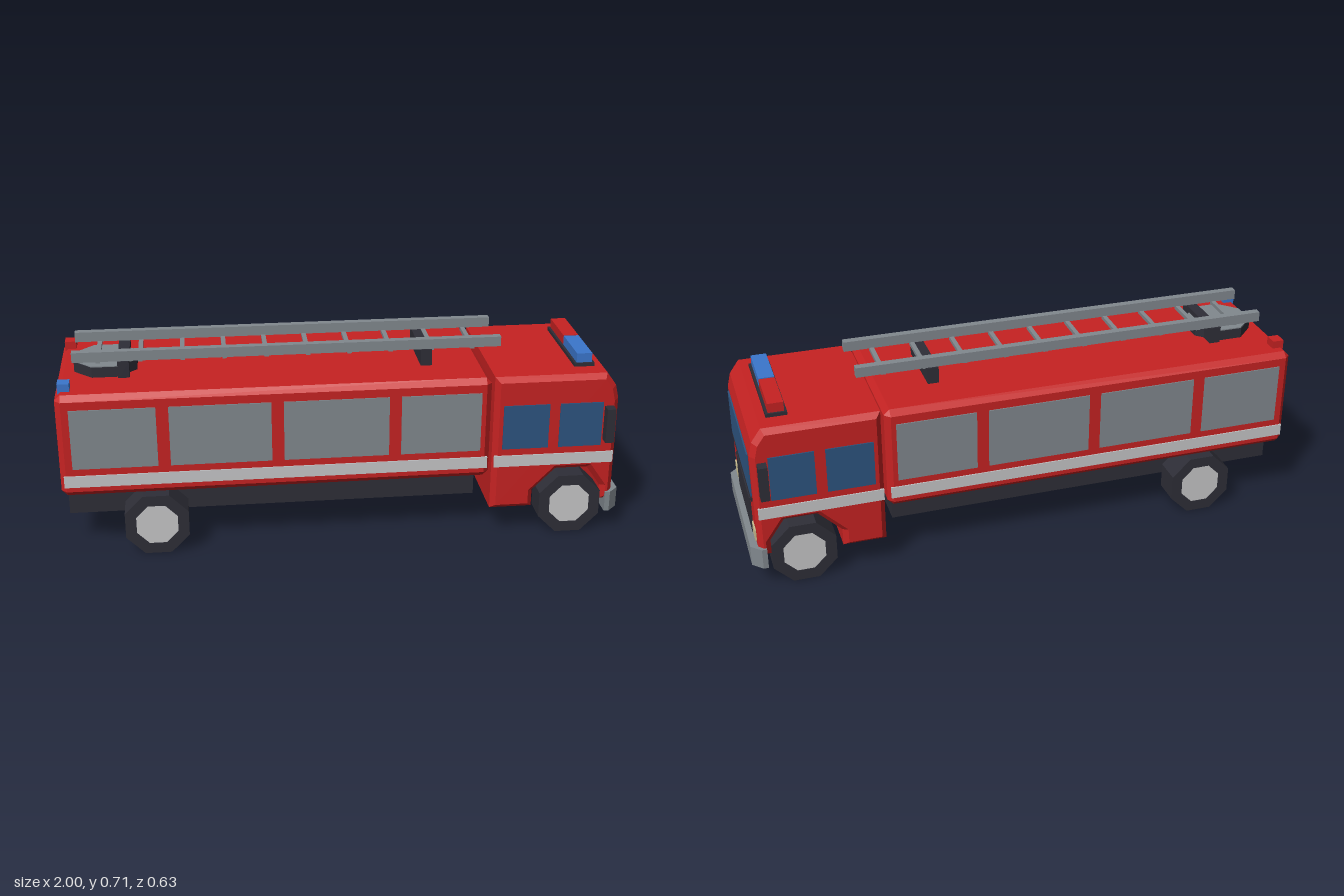
import * as THREE from 'three';
import { ConvexGeometry } from 'three/addons/geometries/ConvexGeometry.js';

const material = (name, color) => {
  const m = new THREE.MeshStandardMaterial({ color });
  m.name = name;
  return m;
};

export function createModel() {
  const red = material('red paint', 0xc62222);
  const dark = material('dark trim', 0x2e2e37);
  const grey = material('metal grey', 0x81888e);
  const light = material('light grey', 0xc6c6c8);
  const glass = material('window glass', 0x2d5480);
  const blue = material('beacon blue', 0x3b76cc);
  const cream = material('headlight cream', 0xcabf90);

  const model = new THREE.Group();
  model.name = 'fireEngine';

  const add = (name, geometry, mat, parent = model) => {
    const mesh = new THREE.Mesh(geometry, mat);
    mesh.name = name;
    parent.add(mesh);
    return mesh;
  };

  // Box given by its limits on each axis
  const box = (name, mat, [x0, x1], [y0, y1], [z0, z1], parent) => {
    const g = new THREE.BoxGeometry(x1 - x0, y1 - y0, z1 - z0);
    g.translate((x0 + x1) / 2, (y0 + y1) / 2, (z0 + z1) / 2);
    return add(name, g, mat, parent);
  };

  // Box with every edge chamfered
  const chamferBox = (hx, hy, hz, c) => {
    const points = [];
    for (const sx of [-1, 1]) for (const sy of [-1, 1]) for (const sz of [-1, 1]) {
      points.push(
        new THREE.Vector3(sx * hx, sy * (hy - c), sz * (hz - c)),
        new THREE.Vector3(sx * (hx - c), sy * hy, sz * (hz - c)),
        new THREE.Vector3(sx * (hx - c), sy * (hy - c), sz * hz));
    }
    return new ConvexGeometry(points);
  };

  const toVectors = (points) => points.map(([x, y]) => new THREE.Vector2(x, y));

  // Octagon with flat sides on the axes; r is the distance to a flat
  const octagon = (r) => Array.from({ length: 8 }, (_, i) => {
    const a = (i + 0.5) * Math.PI / 4;
    const R = r / Math.cos(Math.PI / 8);
    return [R * Math.cos(a), R * Math.sin(a)];
  });

  // Straight prism along z, centred, with an optional hole
  const prism = (points, depth, hole) => {
    const shape = new THREE.Shape(toVectors(points));
    if (hole) shape.holes.push(new THREE.Path(toVectors(hole)));
    return new THREE.ExtrudeGeometry(shape, { depth, bevelEnabled: false }).translate(0, 0, -depth / 2);
  };

  // Rear body and chassis
  add('body', chamferBox(0.754, 0.188, 0.28, 0.02), red).position.set(-0.239, 0.425, 0);
  box('chassis', dark, [-0.98, 0.483], [0.12, 0.26], [-0.17, 0.17]);
  box('rearShutter', grey, [-0.997, -0.99], [0.27, 0.565], [-0.215, 0.215]);

  // Cab, cut through by the wheel arch
  const cabProfile = new THREE.Shape(toVectors([
    [0.526, 0.104], [0.68, 0.104], [0.68, 0.168], [0.762, 0.25], [0.878, 0.25],
    [0.93, 0.175], [0.93, 0.12], [0.974, 0.12], [0.974, 0.515], [0.962, 0.565],
    [0.928, 0.613], [0.526, 0.613],
  ]));
  const cab = new THREE.ExtrudeGeometry(cabProfile, {
    depth: 0.52, bevelEnabled: true, bevelSegments: 1,
    bevelThickness: 0.02, bevelSize: 0.018, bevelOffset: -0.018,
  });
  add('cab', cab.translate(0, 0, -0.26), red);

  // Front of the cab
  box('windshield', glass, [0.972, 0.979], [0.343, 0.508], [-0.235, 0.235]);
  box('wiperPanel', dark, [0.972, 0.979], [0.323, 0.337], [-0.235, 0.235]);
  box('grille', dark, [0.972, 0.979], [0.13, 0.295], [-0.165, 0.165]);
  const bumper = prism([
    [0.947, -0.288], [0.965, -0.288], [1.0, -0.253],
    [1.0, 0.253], [0.965, 0.288], [0.947, 0.288],
  ], 0.076).rotateX(-Math.PI / 2);
  add('bumper', bumper, grey).position.y = 0.118;

  // Details repeated on both sides
  const shutters = [[-0.948, -0.654], [-0.611, -0.259], [-0.216, 0.152], [0.195, 0.478]];
  const windows = [[0.558, 0.723], [0.761, 0.916]];
  for (const s of [1, -1]) {
    const side = new THREE.Group();
    side.name = s > 0 ? 'nearSide' : 'farSide';
    model.add(side);
    const span = (a, b) => (s > 0 ? [a, b] : [-b, -a]);
    const skin = span(0.277, 0.284);

    for (const x of shutters) box('shutter', grey, x, [0.344, 0.563], skin, side);
    for (const x of windows) box('sideWindow', glass, x, [0.344, 0.51], skin, side);
    box('bodyStripe', light, [-0.98, 0.505], [0.275, 0.318], skin, side);
    box('cabStripe', light, [0.53, 0.964], [0.275, 0.318], skin, side);
    box('mirror', dark, [0.922, 0.953], [0.366, 0.494], span(0.275, 0.317), side);
    box('headlight', cream, [0.972, 0.979], [0.17, 0.213], span(0.183, 0.245), side);

    // Beacons
    const lamp = s > 0 ? blue : red;
    box('roofLight', lamp, [0.835, 0.89], [0.624, 0.66], span(0.003, 0.187), side);
    box('rearBeacon', lamp, [-0.983, -0.942], [0.605, 0.641], span(0.185, 0.231), side);

    // Ladder rail
    box('ladderRail', grey, [-0.937, 0.574], [0.673, 0.709], span(0.09, 0.117), side);

    // Wheels
    for (const x of [-0.67, 0.818]) {
      const wheel = new THREE.Group();
      wheel.name = 'wheel';
      wheel.position.set(x, 0.112, s * 0.226);
      side.add(wheel);
      add('tyre', prism(octagon(0.112), 0.102, octagon(0.073)), dark, wheel);
      add('hub', prism(octagon(0.074), 0.07), light, wheel).position.z = s * 0.014;
    }
  }

  // Roof light base
  box('lightBarBase', dark, [0.826, 0.899], [0.605, 0.626], [-0.194, 0.194]);

  // Ladder rungs and supports
  for (let i = 0; i < 10; i++) {
    const x = -0.849 + i * 0.147;
    box('ladderRung', grey, [x - 0.008, x + 0.008], [0.662, 0.675], [-0.1, 0.1]);
  }
  for (const x of [-0.761, 0.305]) {
    box('ladderSupport', dark, [x - 0.02, x + 0.02], [0.605, 0.673], [-0.123, 0.123]);
  }

  // Ladder turntable
  const turntable = new THREE.Group();
  turntable.name = 'turntable';
  turntable.position.set(-0.826, 0, 0);
  model.add(turntable);
  const flatOctagon = (r, h) => prism(octagon(r), h).rotateX(-Math.PI / 2);
  add('turntableBase', flatOctagon(0.11, 0.045), dark, turntable).position.y = 0.6275;
  add('turntableTop', flatOctagon(0.108, 0.005), grey, turntable).position.y = 0.651;

  return model;
}
